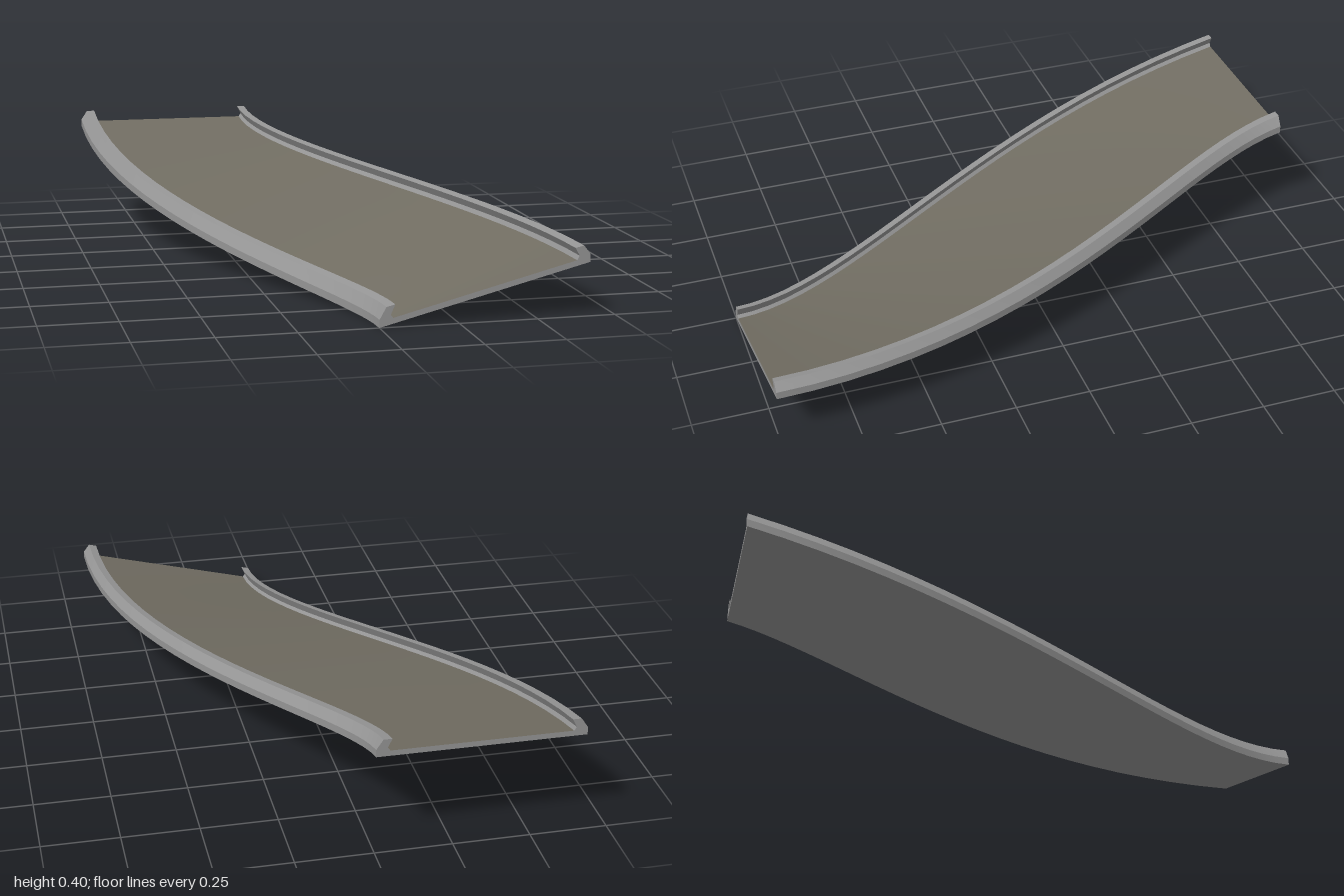
import * as THREE from 'three';

const V = (x, y, z) => new THREE.Vector3(x, y, z);
const STEPS = 24;

// The two outer bottom edges of the ramp, running back to front
const leftEdge = new THREE.CubicBezierCurve3(
  V(-0.665, 0.34, -1), V(-0.665, 0.126, -0.05), V(0, 0, 0.61), V(0, 0, 1));
const rightEdge = new THREE.CubicBezierCurve3(
  V(0, 0.34, -1), V(0, 0.255, -0.61), V(0.665, 0.17, 0.05), V(0.665, 0.17, 1));

// Kerb profile: [distance inward, height], from outer bottom to deck
const kerb = [[0, 0], [0, 0.025], [0.022, 0.058], [0.05, 0.058], [0.036, 0.03], [0.044, 0.018]];

// Closed cross-section at t: up over one kerb, across the deck, down the other
function section(t) {
  const l = leftEdge.getPoint(t), r = rightEdge.getPoint(t);
  const across = r.clone().sub(l).normalize();
  const place = (base, sign) => ([u, v]) =>
    base.clone().addScaledVector(across, sign * u).add(V(0, v, 0));
  return [...kerb.map(place(l, 1)), ...kerb.map(place(r, -1)).reverse()];
}

const sections = Array.from({ length: STEPS + 1 }, (_, i) => section(i / STEPS));

function build(points, index) {
  const g = new THREE.BufferGeometry().setFromPoints(points);
  g.setIndex(index);
  g.computeVertexNormals();
  return g;
}

// One face of the sweep, smooth along its length, split across its width
function strip(edge, across = 1) {
  const points = [], index = [], row = across + 1;
  sections.forEach((s, i) => {
    const a = s[edge], b = s[(edge + 1) % s.length];
    for (let j = 0; j <= across; j++) points.push(a.clone().lerp(b, j / across));
    if (i === STEPS) return;
    for (let j = 0; j < across; j++) {
      const k = i * row + j;
      index.push(k, k + row, k + 1, k + 1, k + row, k + row + 1);
    }
  });
  return build(points, index);
}

// Flat end face
function cap(points, front) {
  const loop = [...points].reverse();
  const tris = THREE.ShapeUtils.triangulateShape(loop.map(p => new THREE.Vector2(p.x, p.y)), []);
  return build(loop, tris.flatMap(([a, b, c]) => (front ? [a, b, c] : [a, c, b])));
}

export function createModel() {
  const group = new THREE.Group();
  const concrete = new THREE.MeshStandardMaterial({ name: 'concreteGrey', color: 0x959595 });
  const asphalt = new THREE.MeshStandardMaterial({ name: 'asphaltBrown', color: 0x716d62 });
  const add = (parent, name, geometry, material) => {
    const mesh = new THREE.Mesh(geometry, material);
    mesh.name = name;
    parent.add(mesh);
  };

  // Kerbs on both sides
  const n = kerb.length;
  for (const [name, first] of [['rightKerb', 0], ['leftKerb', n]]) {
    const side = new THREE.Group();
    side.name = name;
    for (let e = 0; e < n - 1; e++) add(side, name + 'Face', strip(first + e), concrete);
    group.add(side);
  }

  // Road surface and underside
  add(group, 'deck', strip(n - 1, 8), asphalt);
  add(group, 'underside', strip(2 * n - 1, 8), concrete);

  // End faces
  add(group, 'backEnd', cap(sections[0], false), concrete);
  add(group, 'frontEnd', cap(sections[STEPS], true), concrete);
  return group;
}
